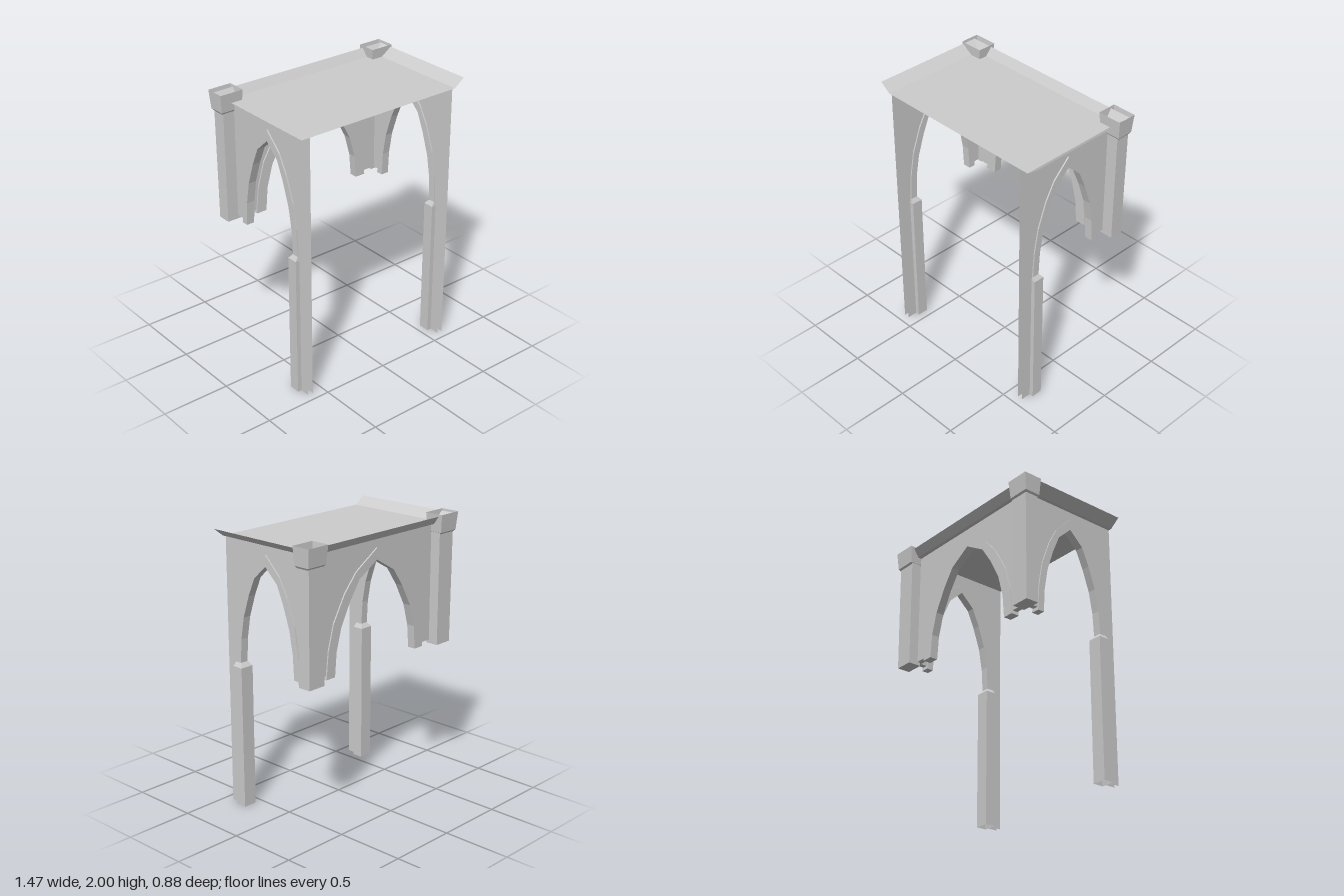
import * as THREE from 'three';

const stone = new THREE.MeshStandardMaterial({ color: 0xcccccc, side: THREE.DoubleSide });
stone.name = 'pale stone';

const SPRING = 1.06, WALL_BOTTOM = 1.085, ROOF = 1.927;

// Right half of the pointed arch, from springing to apex
const OUTER = [[0.485, SPRING], [0.465, 1.25], [0.415, 1.43], [0.31, 1.61], [0.2, 1.735], [0, 1.86]];
const INNER = [[0.405, SPRING], [0.39, 1.23], [0.345, 1.39], [0.26, 1.55], [0.17, 1.68], [0, 1.78]];

// Whole arch curve, running from +u over the apex to -u
function archCurve(half, scale, centre) {
  const right = half.map(([u, y]) => [centre + u * scale, y]);
  const left = half.slice(0, -1).reverse().map(([u, y]) => [centre - u * scale, y]);
  return [...right, ...left];
}

const toShape = (pts) => new THREE.Shape(pts.map(([u, y]) => new THREE.Vector2(u, y)));

function addMesh(parent, name, geometry) {
  const mesh = new THREE.Mesh(geometry, stone);
  mesh.name = name;
  parent.add(mesh);
  return mesh;
}

// Flat-shaded surface from four-cornered faces
function quads(faces) {
  const pos = [];
  for (const [a, b, c, d] of faces) pos.push(...a, ...b, ...c, ...a, ...c, ...d);
  const g = new THREE.BufferGeometry();
  g.setAttribute('position', new THREE.Float32BufferAttribute(pos, 3));
  g.computeVertexNormals();
  return g;
}

// Open rectangular tube through sections [y, x0, x1, z0, z1]
function rectLoft(sections, closeBottom = false) {
  const rings = sections.map(([y, x0, x1, z0, z1]) =>
    [[x0, y, z1], [x1, y, z1], [x1, y, z0], [x0, y, z0]]);
  const faces = [];
  for (let i = 0; i + 1 < rings.length; i++) {
    for (let k = 0; k < 4; k++) {
      const n = (k + 1) % 4;
      faces.push([rings[i][k], rings[i][n], rings[i + 1][n], rings[i + 1][k]]);
    }
  }
  if (closeBottom) faces.push([...rings[0]].reverse());
  return quads(faces);
}

// Hollow wall of two sheets with a raised arch moulding
function archWall(name, outline, scale, centre, feet) {
  const wall = new THREE.Group();
  wall.name = name;
  for (const s of [-1, 1]) {
    const sheet = new THREE.ShapeGeometry(toShape(outline));
    addMesh(wall, 'wallSheet', sheet).position.z = s * 0.02;
  }
  const ring = [...archCurve(OUTER, scale, centre), ...archCurve(INNER, scale, centre).reverse()];
  const g = new THREE.ExtrudeGeometry(toShape(ring), { depth: 0.06, bevelEnabled: false });
  addMesh(wall, 'archMoulding', g.translate(0, 0, -0.03));
  // undersides of the wall next to the arch
  for (const [a, b] of feet) {
    addMesh(wall, 'wallUnderside', quads([[
      [a, WALL_BOTTOM, -0.02], [b, WALL_BOTTOM, -0.02],
      [b, WALL_BOTTOM, 0.02], [a, WALL_BOTTOM, 0.02]]]));
  }
  return wall;
}

export function createModel() {
  const model = new THREE.Group();
  model.name = 'archedPorch';

  // Back wall
  const backArch = archCurve(OUTER, 1, 0);
  backArch[0] = [0.483, WALL_BOTTOM];
  backArch[backArch.length - 1] = [-0.483, WALL_BOTTOM];
  const back = archWall('backWall',
    [[0.62, WALL_BOTTOM], [0.62, ROOF], [-0.62, ROOF], [-0.62, WALL_BOTTOM], ...backArch.reverse()],
    1, 0, [[0.48, 0.6], [-0.6, -0.48]]);
  back.position.z = -0.32;
  model.add(back);

  // Side walls, running down the front edge to the ground
  const sideScale = 0.63, sideCentre = 0.055;
  const sideArch = archCurve(OUTER, sideScale, sideCentre);
  sideArch[sideArch.length - 1] = [-0.249, WALL_BOTTOM];
  const sideOutline = [[0.44, 0], [0.44, ROOF], [-0.32, ROOF], [-0.32, WALL_BOTTOM],
    ...sideArch.reverse(), [0.36, 0]];

  for (const s of [-1, 1]) {
    const side = archWall(s > 0 ? 'leftWall' : 'rightWall', sideOutline,
      sideScale, sideCentre, [[-0.32, -0.247]]);
    side.rotation.y = -Math.PI / 2;
    side.position.x = s * 0.605;
    model.add(side);

    // Front leg with a chamfered shoulder
    const leg = rectLoft([
      [0, -0.051, 0.051, 0.285, 0.365],
      [1.03, -0.051, 0.051, 0.285, 0.365],
      [1.06, -0.03, 0.03, 0.31, 0.36]]);
    addMesh(model, 'frontLeg', leg).position.x = s * 0.604;

    // Hanging corner pilaster
    const pilaster = rectLoft([
      [SPRING, -0.068, 0.068, -0.413, -0.316],
      [1.87, -0.071, 0.071, -0.417, -0.314]], true);
    addMesh(model, 'cornerPilaster', pilaster).position.x = s * 0.64;

    // Open flared capital
    const capital = rectLoft([
      [1.858, -0.07, 0.07, -0.415, -0.316],
      [1.872, -0.079, 0.079, -0.428, -0.308],
      [2, -0.088, 0.088, -0.44, -0.3]]);
    addMesh(model, 'capital', capital).position.x = s * 0.647;
  }

  // Flat roof
  addMesh(model, 'roof', quads([[
    [-0.65, ROOF, 0.44], [0.65, ROOF, 0.44], [0.65, ROOF, -0.367], [-0.65, ROOF, -0.367]]]));

  // Upturned eaves around the sides and back, mitred at the corners
  const low = [[-0.65, ROOF, 0.44], [-0.65, ROOF, -0.367], [0.65, ROOF, -0.367], [0.65, ROOF, 0.44]];
  const high = [[-0.727, 1.985, 0.44], [-0.727, 1.985, -0.41], [0.727, 1.985, -0.41], [0.727, 1.985, 0.44]];
  addMesh(model, 'eaves', quads([0, 1, 2].map((i) => [low[i], low[i + 1], high[i + 1], high[i]])));

  return model;
}
